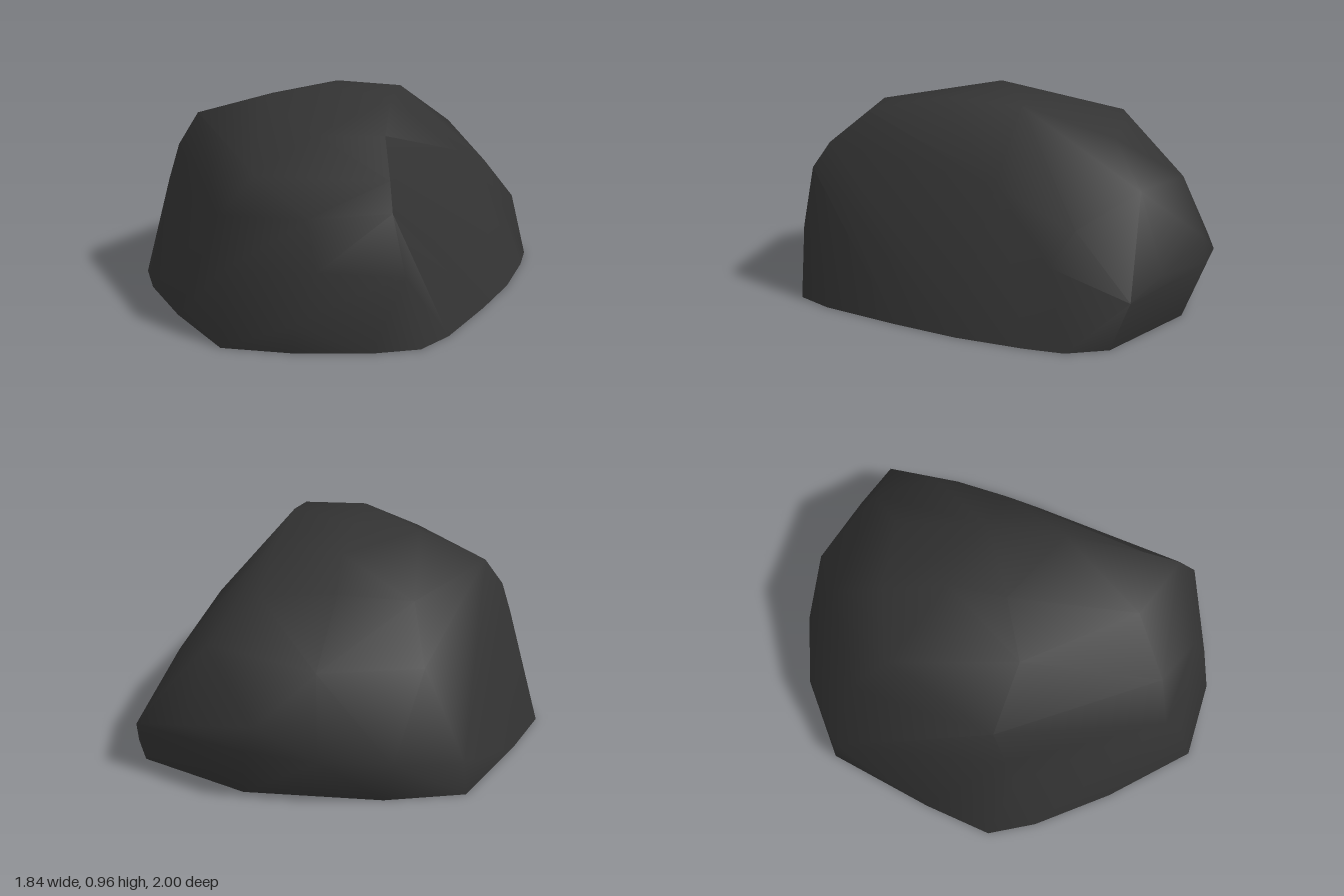
import * as THREE from 'three';
import { ConvexGeometry } from 'three/addons/geometries/ConvexGeometry.js';
import { toCreasedNormals } from 'three/addons/utils/BufferGeometryUtils.js';

// Footprint on the ground as [x, z]
const footprint = [
  [-0.92, 0.04], [-0.83, -0.28], [-0.65, -0.77], [-0.3, -0.88], [0.32, -0.9],
  [0.83, -0.66], [0.915, -0.48], [0.9, -0.3], [0.84, 0.02], [0.74, 0.33],
  [0.6, 0.7], [0.49, 0.865], [0.28, 0.94], [-0.05, 0.98], [-0.37, 0.96],
  [-0.64, 0.6], [-0.84, 0.26],
];

// Bulging lower flanks as [x, y, z]
const flanks = [
  [0.84, 0.22, -0.747], [0.6, 0.28, -0.85], [0.29, 0.25, -1], [-0.03, 0.22, -1],
  [-0.35, 0.2, -0.935], [-0.64, 0.15, -0.76], [-0.86, 0.1, 0.05], [-0.8, 0.3, 0.1],
  [-0.05, 0.13, 1], [0.05, 0.36, 0.95], [-0.37, 0.33, 0.89], [0.42, 0.33, 0.87],
  [0.77, 0.33, -0.38], [0.25, 0.36, -0.98],
];

// Shoulders and crown as [x, y, z]
const crown = [
  [0.7, 0.48, -0.48], [0.5, 0.62, -0.73], [0.59, 0.63, -0.1], [0.3, 0.8, -0.58],
  [0, 0.57, -0.85], [-0.05, 0.83, -0.58], [-0.38, 0.79, -0.5], [-0.45, 0.55, -0.68],
  [-0.77, 0.51, 0.15], [-0.73, 0.67, 0.1], [-0.65, 0.81, 0.03], [-0.4, 0.55, 0.8],
  [-0.25, 0.72, 0.75], [0.36, 0.6, 0.84], [0.34, 0.72, 0.76], [0, 0.57, 0.88],
  [0, 0.87, 0.6], [0.3, 0.87, 0.58], [-0.33, 0.915, 0.1], [-0.05, 0.957, 0],
  [0.29, 0.95, 0.22], [0.3, 0.93, -0.15], [-0.02, 0.915, -0.28], [0.42, 0.8, 0.12],
];

export function createModel() {
  const model = new THREE.Group();
  model.name = 'boulder';

  const stone = new THREE.MeshStandardMaterial({ color: 0x333333 });
  stone.name = 'dark stone';

  const points = [
    ...footprint.map(([x, z]) => new THREE.Vector3(x, 0, z)),
    ...[...flanks, ...crown].map((p) => new THREE.Vector3(...p)),
  ];

  // Soft shading over the stone, with a sharp rim around the flat base
  const rock = new THREE.Mesh(toCreasedNormals(new ConvexGeometry(points), 1.0), stone);
  rock.name = 'rock';
  model.add(rock);
  return model;
}
